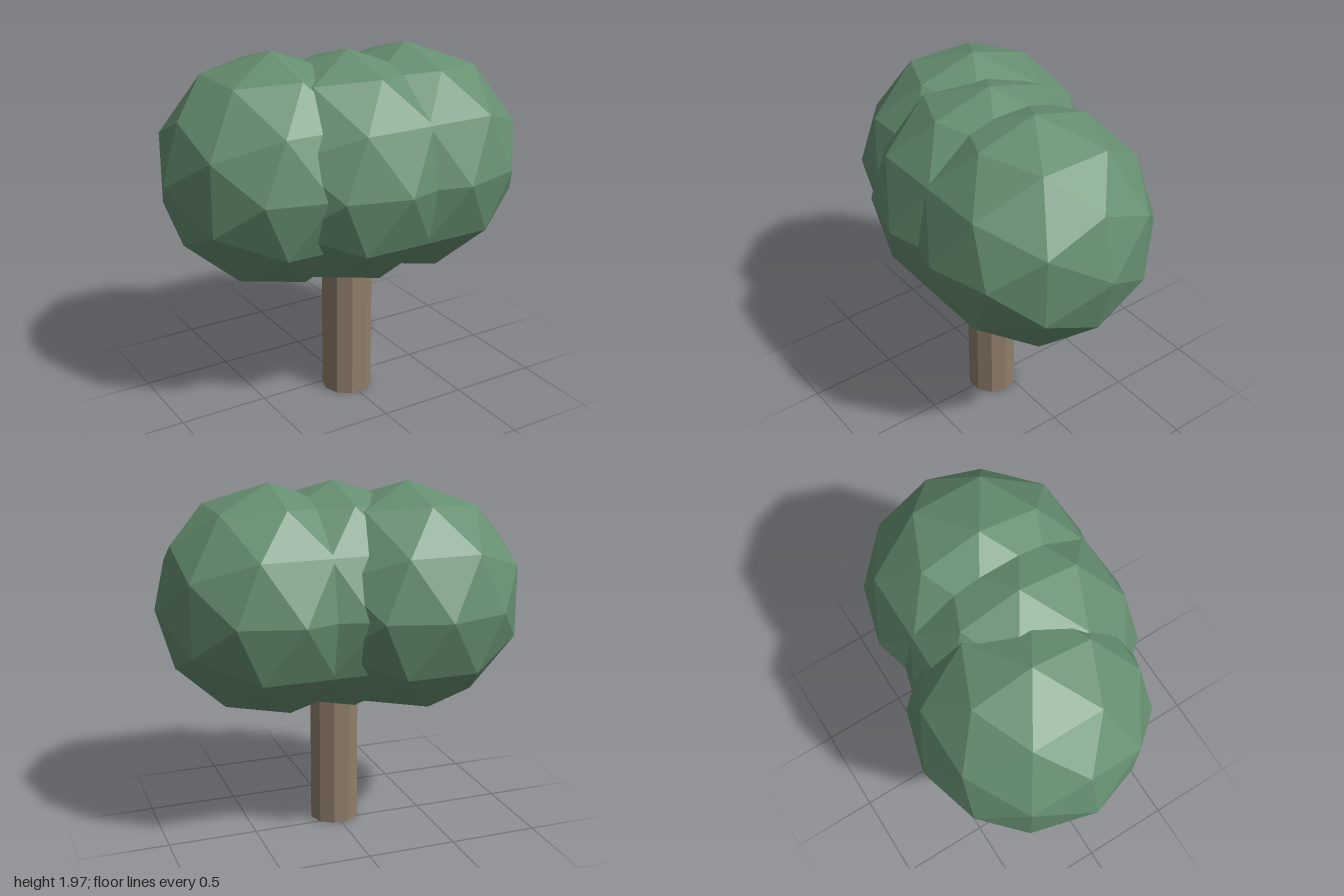
import * as THREE from 'three';

export function createModel() {
  const tree = new THREE.Group();
  tree.name = 'tree';

  const leafGreen = new THREE.MeshStandardMaterial({ color: 0x668f70, flatShading: true });
  leafGreen.name = 'leaf green';
  const barkBrown = new THREE.MeshStandardMaterial({ color: 0x8f7d6a, flatShading: true });
  barkBrown.name = 'bark brown';

  // Ten-sided trunk, reaching up into the middle of the crown
  const trunkHeight = 1.2;
  const trunk = new THREE.Mesh(
    new THREE.CylinderGeometry(0.14, 0.14, trunkHeight, 10, 1, false, Math.PI / 2),
    barkBrown
  );
  trunk.name = 'trunk';
  trunk.position.set(0, trunkHeight / 2, 0.08);
  tree.add(trunk);

  // Crown: three overlapping faceted balls, turned a quarter about z
  const ball = new THREE.IcosahedronGeometry(0.636, 1).rotateZ(Math.PI / 2);
  const crown = new THREE.Group();
  crown.name = 'crown';
  const balls = [
    ['rightFoliage', -0.364, -0.08],
    ['middleFoliage', 0, 0.08],
    ['leftFoliage', 0.364, 0.08],
  ];
  for (const [name, x, z] of balls) {
    const foliage = new THREE.Mesh(ball, leafGreen);
    foliage.name = name;
    foliage.position.set(x, 1.333, z);
    crown.add(foliage);
  }
  tree.add(crown);

  return tree;
}
